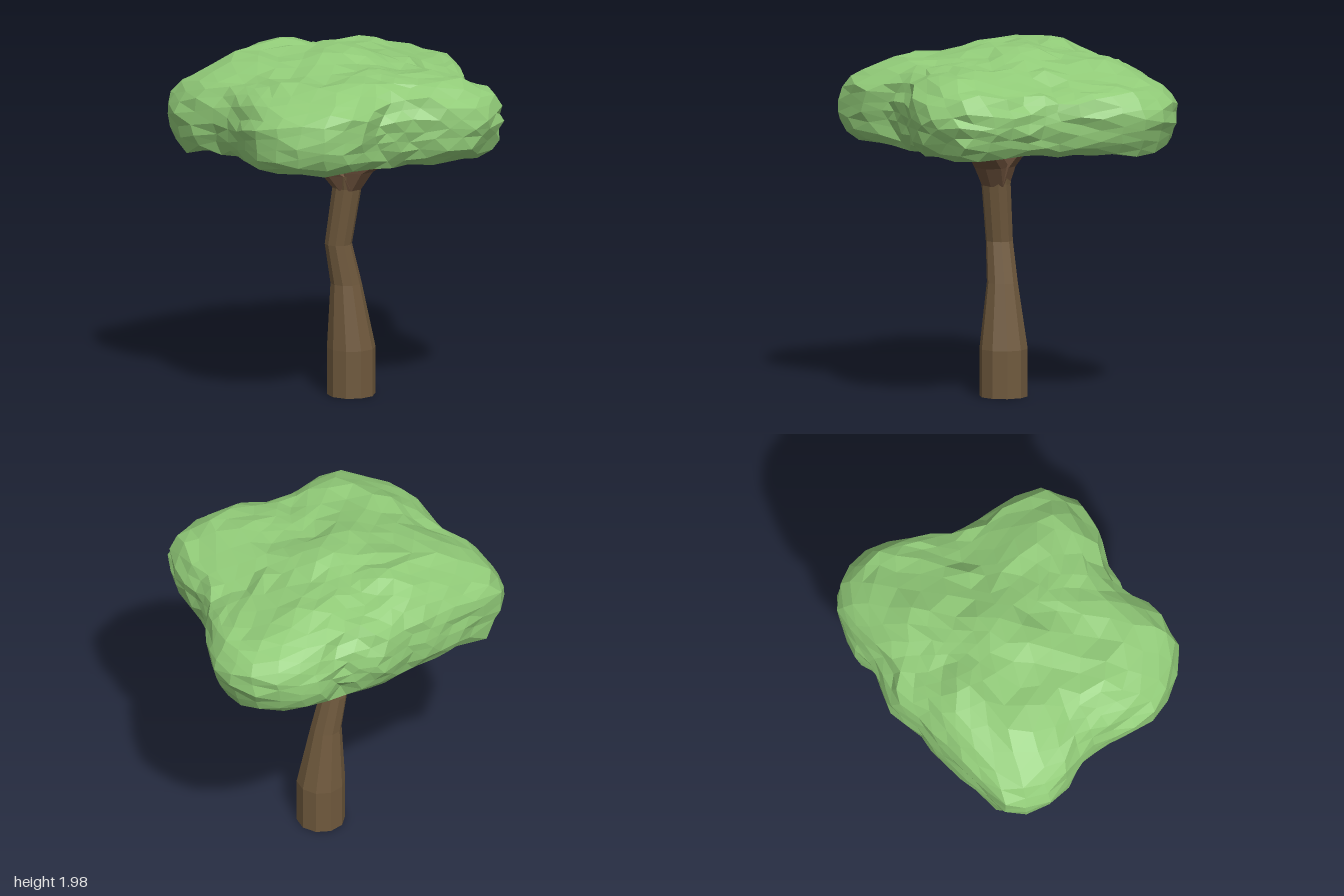
import * as THREE from 'three';
import { mergeVertices } from 'three/addons/utils/BufferGeometryUtils.js';

function flatMaterial(name, color, side = THREE.FrontSide) {
  const m = new THREE.MeshStandardMaterial({ color, side, flatShading: true });
  m.name = name;
  return m;
}
const bark = flatMaterial('bark', 0x6f593d, THREE.DoubleSide);
const branchBark = flatMaterial('branch bark', 0x6b503b, THREE.DoubleSide);
const leaf = flatMaterial('leaf green', 0x91cb78);

// Small seeded generator giving values in -1..1
function seeded(seed) {
  let s = seed;
  return () => {
    s = (s * 16807) % 2147483647;
    return (s / 2147483647) * 2 - 1;
  };
}

// Open-ended limb through stations of [x, y, z, radius]
function limb(stations, sides) {
  const position = [], index = [];
  stations.forEach(([x, y, z, r], j) => {
    for (let i = 0; i < sides; i++) {
      const angle = ((i + 0.5) / sides) * Math.PI * 2;
      position.push(x + r * Math.cos(angle), y, z + r * Math.sin(angle));
      if (j === 0) continue;
      const k = (i + 1) % sides;
      const a = (j - 1) * sides + i, b = (j - 1) * sides + k;
      index.push(a, a + sides, b + sides, a, b + sides, b);
    }
  });
  const g = new THREE.BufferGeometry();
  g.setAttribute('position', new THREE.Float32BufferAttribute(position, 3));
  g.setIndex(index);
  g.computeVertexNormals();
  return g;
}

// Middle of the crown, and its outline from above as [x, z]
const cx = -0.08, cz = -0.02;
const outline = [
  [0.82, -0.2], [0.75, -0.43], [0.65, -0.5], [0.48, -0.55], [0.32, -0.58], [0.19, -0.65],
  [0.08, -0.74], [-0.04, -0.84], [-0.17, -0.93], [-0.4, -0.93], [-0.52, -0.86], [-0.65, -0.65],
  [-0.67, -0.4], [-0.79, -0.2], [-0.78, 0], [-0.8, 0.25], [-0.8, 0.48], [-0.81, 0.71],
  [-0.57, 0.83], [-0.43, 0.83], [-0.27, 0.79], [-0.1, 0.82], [0.03, 0.88], [0.2, 0.93],
  [0.43, 0.86], [0.57, 0.75], [0.62, 0.5], [0.57, 0.33], [0.63, 0.13], [0.7, 0.07],
];
const polar = outline
  .map(([x, z]) => [Math.atan2(z - cz, x - cx), Math.hypot(x - cx, z - cz)])
  .sort((p, q) => p[0] - q[0]);
const first = polar[0], last = polar[polar.length - 1];
const radii = [[last[0] - 2 * Math.PI, last[1]], ...polar, [first[0] + 2 * Math.PI, first[1]]];

// Side profile of the crown: [elevation -1..1, share of the outline, share of the height]
const profile = [
  [-1, 0, 0.08], [-0.62, 0.5, 0.06], [-0.42, 0.82, 0.01], [-0.31, 0.92, 0.0], [-0.19, 0.975, 0.17],
  [-0.06, 1, 0.36], [0.07, 1, 0.55], [0.19, 0.965, 0.73], [0.31, 0.89, 0.885], [0.45, 0.76, 0.97],
  [0.55, 0.62, 1], [1, 0, 1],
];

// Linear look-up in a table of rows sorted by their first entry
function lookUp(table, t, column) {
  const i = Math.max(1, table.findIndex((row) => row[0] >= t));
  const a = table[i - 1], b = table[i];
  return THREE.MathUtils.mapLinear(t, a[0], b[0], a[column], b[column]);
}

// Heights of the crown's upper side, [x, z, y]
const heights = [
  [-0.08, 0.1, 2.0], [-0.45, 0.1, 1.97], [-0.4, 0.45, 1.95], [0.08, 0.1, 1.92], [0.5, -0.2, 1.9],
  [0.5, 0.25, 1.91], [0.1, 0.57, 1.9], [0.3, 0.45, 1.9], [-0.35, -0.35, 1.92], [0.45, -0.45, 1.83],
  [0.25, 0.8, 1.85], [-0.3, 0.7, 1.88], [-0.6, 0.65, 1.88], [-0.6, -0.15, 1.91], [-0.08, -0.08, 1.97],
  [-0.41, -0.68, 1.86], [-0.24, -0.71, 1.84], [-0.08, -0.6, 1.82], [0.12, -0.5, 1.79],
  [0.28, -0.48, 1.83], [-0.05, -0.35, 1.9], [0.2, -0.2, 1.89],
];
function topHeight(x, z) {
  let sum = 0, weight = 0;
  for (const [px, pz, y] of heights) {
    const w = 1 / ((x - px) ** 2 + (z - pz) ** 2 + 0.003) ** 1.7;
    sum += w * y;
    weight += w;
  }
  return sum / weight;
}

// Faceted ball reshaped to the outline, profile and heights, then roughened
function crownGeometry() {
  const rnd = seeded(4711);
  const ball = new THREE.IcosahedronGeometry(1, 7);
  ball.deleteAttribute('uv');
  ball.deleteAttribute('normal');
  const g = mergeVertices(ball, 1e-4);
  const p = g.attributes.position;
  for (let i = 0; i < p.count; i++) {
    const angle = Math.atan2(p.getZ(i), p.getX(i));
    const t = Math.asin(THREE.MathUtils.clamp(p.getY(i), -1, 1)) / (Math.PI / 2);
    const r = lookUp(radii, angle, 1) * lookUp(profile, t, 1);
    const f = lookUp(profile, t, 2);
    const rough = t < -0.45 ? 0.003 : 0.014;
    // The upper half leans a little to the back left
    const lean = r * 0.03 * (f - 0.5);
    const x = cx + r * Math.cos(angle) + lean + rnd() * rough;
    const z = cz + r * Math.sin(angle) - lean + rnd() * rough;
    // The front right-hand corner droops
    const droop = x < -0.5 && z > 0.5 && f < 0.1 ? 0.03 : 0;
    const y = 1.435 + f * (topHeight(x, z) - 1.435) + rnd() * rough - droop;
    p.setXYZ(i, x, Math.min(2, y), z);
  }
  g.computeVertexNormals();
  return g;
}

export function createModel() {
  const tree = new THREE.Group();
  tree.name = 'tree';
  const add = (name, geometry, material) => {
    const mesh = new THREE.Mesh(geometry, material);
    mesh.name = name;
    tree.add(mesh);
  };

  // Crooked hollow trunk, widening at the fork
  add('trunk', limb([
    [-0.02, 0, 0.025, 0.137], [-0.02, 0.27, 0.025, 0.137], [-0.035, 0.64, 0.05, 0.088],
    [-0.053, 0.87, 0.092, 0.077], [-0.005, 1.2, 0.07, 0.083], [0, 1.28, 0.075, 0.1],
  ], 10), bark);

  // Three thick branches spreading into the crown
  const fork = [0, 1.19, 0.07, 0.079];
  add('leftBranch', limb([fork,
    [0.05, 1.3, 0.05, 0.1], [0.2, 1.41, -0.03, 0.095], [0.36, 1.53, -0.12, 0.06]], 7), branchBark);
  add('backBranch', limb([fork,
    [-0.01, 1.3, 0.04, 0.085], [-0.06, 1.4, -0.02, 0.08], [-0.1, 1.51, -0.07, 0.06]], 7), branchBark);
  add('frontBranch', limb([fork, [-0.03, 1.28, 0.11, 0.1],
    [-0.11, 1.37, 0.23, 0.095], [-0.19, 1.45, 0.35, 0.09], [-0.21, 1.51, 0.38, 0.07]], 7), branchBark);

  add('crown', crownGeometry(), leaf);
  return tree;
}
